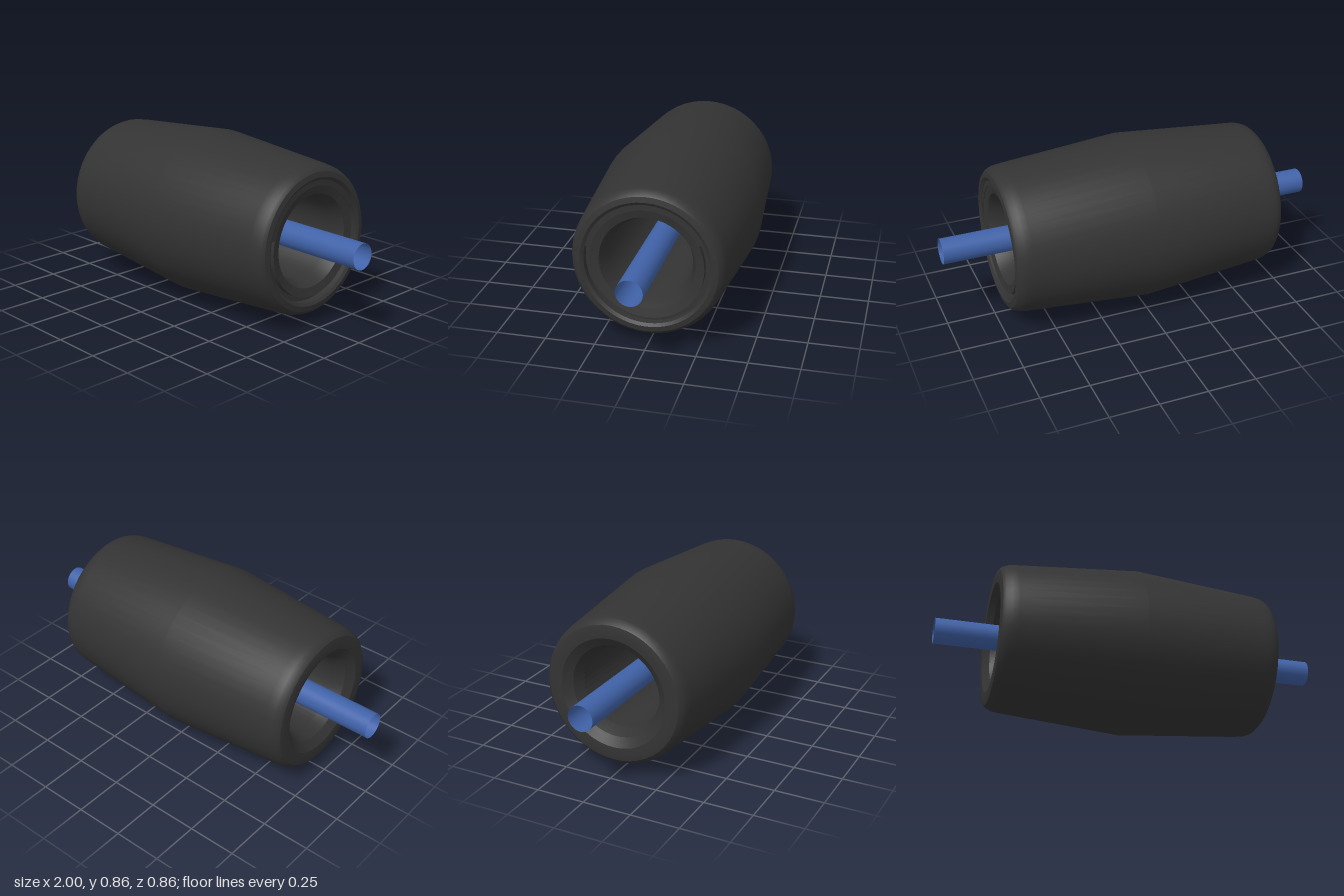
import * as THREE from 'three';
import { toCreasedNormals } from 'three/addons/utils/BufferGeometryUtils.js';

const CENTER_Y = 0.43;

export function createModel() {
  const group = new THREE.Group();
  const rubber = new THREE.MeshStandardMaterial({ color: 0x333333 });
  const blue = new THREE.MeshStandardMaterial({ color: 0x4062a8, side: THREE.DoubleSide });

  const add = (name, geometry, material) => {
    const mesh = new THREE.Mesh(geometry, material);
    mesh.name = name;
    mesh.position.y = CENTER_Y;
    group.add(mesh);
  };

  // Barrel: [radius, x] closed section, outside first, then back through the bore
  const shoulder = [[0.32, 0.715], [0.347, 0.71], [0.363, 0.695], [0.373, 0.67], [0.378, 0.635]];
  const section = [
    ...shoulder.map(([r, x]) => [r, -x]),
    [0.43, 0],
    ...shoulder.slice().reverse(),
    // stepped right end with a shallow groove
    [0.305, 0.705], [0.305, 0.67], [0.278, 0.67], [0.278, 0.7], [0.235, 0.69], [0.207, 0.62],
    // plain funnel at the left end
    [0.207, -0.62], [0.235, -0.68], [0.28, -0.712], [0.32, -0.715],
  ].map(([r, x]) => new THREE.Vector2(r, x));
  const barrel = new THREE.LatheGeometry(section, 48).rotateZ(-Math.PI / 2);
  add('rollerBarrel', toCreasedNormals(barrel, 0.45), rubber);

  // Filler closing the upper part of the groove
  const rad = THREE.MathUtils.degToRad;
  const arc = new THREE.Shape();
  arc.absarc(0, 0, 0.307, rad(26), rad(167), false);
  arc.absarc(0, 0, 0.276, rad(167), rad(26), true);
  arc.closePath();
  const filler = new THREE.ExtrudeGeometry(arc, { depth: 0.035, bevelEnabled: false, curveSegments: 20 });
  filler.translate(0, 0, 0.668).rotateY(Math.PI / 2);
  add('grooveFiller', filler, rubber);

  // Open tube running through the bore
  const axle = new THREE.CylinderGeometry(0.065, 0.065, 2, 32, 1, true).rotateZ(-Math.PI / 2);
  add('axleTube', axle, blue);

  return group;
}
